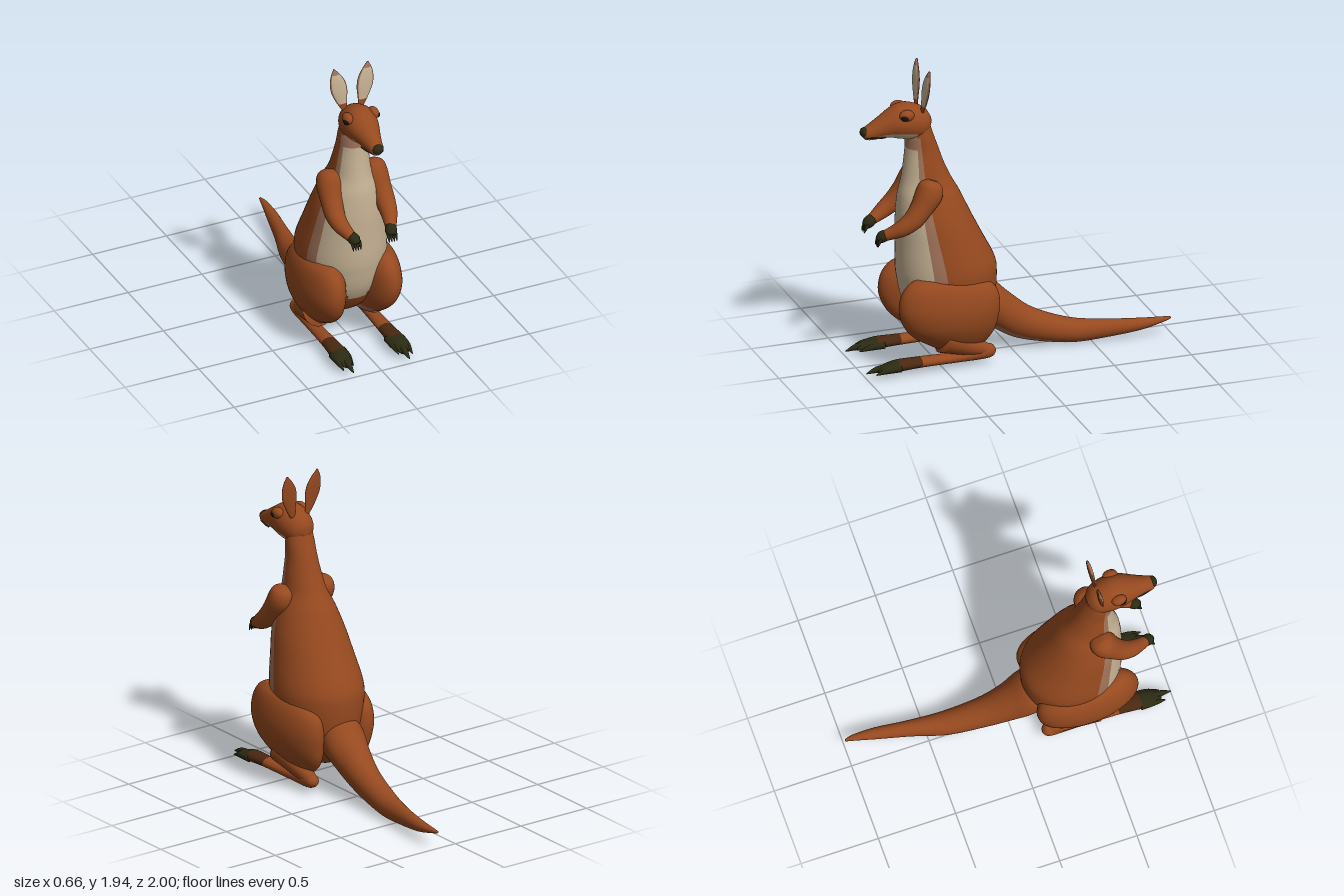
import * as THREE from 'three';

const mat = (name, color) => Object.assign(new THREE.MeshStandardMaterial({ color }), { name });

export function createModel() {
  const fur = mat('russet fur', 0x96491f);
  const cream = mat('cream fur', 0xc6b294);
  const tan = mat('tan fur', 0xa07259);
  const darkFur = mat('dark brown fur', 0x4a2810);
  const claw = mat('dark olive skin', 0x2b2a13);
  const black = mat('black eye', 0x14120e);

  const model = new THREE.Group();
  model.name = 'kangaroo';

  const spline = (a, b, c, d, t) => {
    const p = (c - a) / 2, q = (d - b) / 2;
    return (2 * b - 2 * c + p + q) * t ** 3 + (-3 * b + 3 * c - 2 * p - q) * t * t + p * t + b;
  };

  // Skin over rings [cx,cy,cz, ux,uy,uz, vx,vy,vz]; pick(x,y,z,angle from v) gives the colour
  function loft(name, keys, pick = () => fur, { seg = 48, steps = 5, parent = model } = {}) {
    const rings = [];
    for (let i = 0; i < keys.length - 1; i++) {
      const k = [-1, 0, 1, 2].map(o => keys[Math.min(keys.length - 1, Math.max(0, i + o))]);
      for (let s = 0; s < steps; s++) {
        rings.push(k[0].map((_, n) => spline(k[0][n], k[1][n], k[2][n], k[3][n], s / steps)));
      }
    }
    rings.push(keys[keys.length - 1]);
    // Close both ends
    const closed = r => r.map((n, i) => (i < 3 ? n : n * 0.001));
    rings.unshift(closed(rings[0]));
    rings.push(closed(rings[rings.length - 1]));

    const pos = [];
    for (const r of rings) {
      for (let j = 0; j < seg; j++) {
        const a = (j / seg) * Math.PI * 2, sn = Math.sin(a), cs = Math.cos(a);
        for (let n = 0; n < 3; n++) pos.push(r[n] + r[n + 3] * sn + r[n + 6] * cs);
      }
    }
    // Winding follows the handedness of the rings
    const mid = keys[keys.length >> 1];
    const vec = (r, o) => new THREE.Vector3(r[o], r[o + 1], r[o + 2]);
    const along = vec(keys[keys.length - 1], 0).sub(vec(keys[0], 0));
    const flip = vec(mid, 6).cross(vec(mid, 3)).dot(along) < 0;

    const faces = new Map();
    for (let i = 0; i < rings.length - 1; i++) {
      for (let j = 0; j < seg; j++) {
        const a = i * seg + j, b = i * seg + (j + 1) % seg, c = b + seg, d = a + seg;
        const m = [0, 1, 2].map(n => (pos[a * 3 + n] + pos[c * 3 + n]) / 2);
        const deg = ((j + 0.5) / seg) * 360;
        const material = pick(...m, Math.min(deg, 360 - deg));
        if (!faces.has(material)) faces.set(material, []);
        faces.get(material).push(...(flip ? [a, c, b, a, d, c] : [a, b, c, a, c, d]));
      }
    }
    const geo = new THREE.BufferGeometry();
    geo.setAttribute('position', new THREE.Float32BufferAttribute(pos, 3));
    const index = [];
    [...faces.values()].forEach((f, i) => {
      geo.addGroup(index.length, f.length, i);
      for (const n of f) index.push(n);
    });
    geo.setIndex(index);
    geo.computeVertexNormals();
    const mesh = new THREE.Mesh(geo, [...faces.keys()]);
    mesh.name = name;
    parent.add(mesh);
    return mesh;
  }

  // Upright ring [z, top, bottom, x0, x1] with angle 0 at the underside
  const upright = ([z, t, b, x0, x1]) =>
    [(x0 + x1) / 2, (t + b) / 2, z, (x1 - x0) / 2, 0, 0, 0, (b - t) / 2, 0];
  // Level ring [y, front z, back z, x0, x1] with angle 0 at the front
  const level = ([y, f, b, x0, x1]) =>
    [(x0 + x1) / 2, y, (f + b) / 2, (x1 - x0) / 2, 0, 0, 0, 0, (f - b) / 2];
  const side = (s, r) => [r[0], r[1], r[2], s * r[3], s * r[4]];

  // Round limb through points [x, y, z, radius]
  function limb(name, pts, pick, opts) {
    const X = new THREE.Vector3(1, 0, 0);
    const keys = pts.map((p, i) => {
      const a = pts[Math.max(0, i - 1)], b = pts[Math.min(pts.length - 1, i + 1)];
      const t = new THREE.Vector3(b[0] - a[0], b[1] - a[1], b[2] - a[2]).normalize();
      const v = t.clone().cross(X).normalize(), u = v.clone().cross(t);
      return [p[0], p[1], p[2], ...u.multiplyScalar(p[3]).toArray(), ...v.multiplyScalar(p[3]).toArray()];
    });
    return loft(name, keys, pick, { seg: 16, steps: 4, ...opts });
  }

  function ball(name, material, p, r) {
    const mesh = new THREE.Mesh(new THREE.SphereGeometry(1, 24, 16), material);
    mesh.position.set(...p);
    mesh.scale.set(...r);
    mesh.name = name;
    model.add(mesh);
  }

  // Torso and neck with cream belly
  loft('body', [
    [0.13, 0.42, 0.3, 0.04], [0.17, 0.5, 0.22, 0.12], [0.25, 0.6, 0.15, 0.2], [0.4, 0.69, 0.11, 0.25],
    [0.55, 0.725, 0.1, 0.275], [0.65, 0.735, 0.115, 0.275], [0.8, 0.735, 0.19, 0.25],
    [0.95, 0.735, 0.265, 0.222], [1.1, 0.725, 0.335, 0.175], [1.2, 0.705, 0.39, 0.13],
    [1.3, 0.69, 0.435, 0.112], [1.4, 0.68, 0.47, 0.097], [1.5, 0.675, 0.505, 0.092], [1.58, 0.66, 0.53, 0.08],
  ].map(([y, f, b, w]) => level([y, f, b, -w, w])), (x, y, z, a) => {
    if (y < 0.33) return fur;
    const edge = 60 * Math.min(1, (y - 0.27) / 0.3);
    if (a < edge) return y > 1.43 ? tan : cream;
    return y > 0.6 && y < 1.5 && a < 75 ? tan : fur;
  });

  // Head with pale jaw
  loft('head', [
    [0.52, 1.61, 1.55, 0.03], [0.55, 1.66, 1.5, 0.075], [0.6, 1.692, 1.475, 0.1], [0.67, 1.714, 1.48, 0.11],
    [0.73, 1.708, 1.49, 0.104], [0.78, 1.685, 1.503, 0.09], [0.84, 1.647, 1.505, 0.069],
    [0.9, 1.61, 1.5, 0.052], [0.94, 1.585, 1.507, 0.042], [0.96, 1.57, 1.525, 0.025],
  ].map(([z, t, b, w]) => upright([z, t, b, -w, w])),
  (x, y, z, a) => (z > 0.63 && z < 0.93 && a < 62 ? cream : fur));
  ball('nose', claw, [0, 1.553, 0.945], [0.038, 0.032, 0.028]);

  // Tail sweeping back to one side, pale below
  loft('tail', [
    [0.24, 0.5, 0.2, -0.13, 0.13], [0.12, 0.47, 0.15, -0.14, 0.14], [0, 0.36, 0.08, -0.105, 0.12],
    [-0.15, 0.245, 0.035, -0.07, 0.115], [-0.38, 0.158, 0.002, -0.025, 0.125], [-0.6, 0.135, 0.02, 0.04, 0.14],
    [-0.8, 0.125, 0.05, 0.085, 0.16], [-0.94, 0.12, 0.085, 0.115, 0.155], [-0.995, 0.115, 0.1, 0.126, 0.14],
  ].map(upright), (x, y, z, a) => (a < 48 && z < 0.22 && z > -0.85 ? tan : fur));

  for (const s of [1, -1]) {
    const n = s > 0 ? 'left' : 'right';

    // Face details
    ball(n + 'Brow', fur, [s * 0.085, 1.662, 0.7], [0.034, 0.036, 0.048]);
    ball(n + 'Eye', black, [s * 0.102, 1.655, 0.715], [0.02, 0.021, 0.027]);
    limb(n + 'Mouth', [[s * 0.058, 1.525, 0.83, 0.005], [s * 0.05, 1.525, 0.88, 0.006],
      [s * 0.035, 1.53, 0.94, 0.005]], () => claw, { seg: 8 });

    // Leaf-shaped ear, pale inside
    loft(n + 'Ear', [
      [1.66, 0.055, 0.59, 0.018], [1.72, 0.073, 0.585, 0.036], [1.79, 0.086, 0.58, 0.054],
      [1.85, 0.095, 0.575, 0.052], [1.9, 0.105, 0.57, 0.034], [1.945, 0.114, 0.565, 0.005],
    ].map(([y, x, z, w]) => [s * x, y, z, w, 0, 0, 0, 0, 0.006 + w * 0.16]),
    (x, y, z, a) => (y < 1.7 || a > 90 ? fur : a < 52 && y < 1.91 ? cream : tan), { seg: 32 });

    // Arm, hand and claws
    limb(n + 'Arm', [
      [s * 0.14, 1.235, 0.55, 0.03], [s * 0.145, 1.21, 0.56, 0.07], [s * 0.15, 1.15, 0.58, 0.085],
      [s * 0.165, 1.07, 0.635, 0.07], [s * 0.172, 1.0, 0.695, 0.062], [s * 0.165, 0.955, 0.76, 0.052],
      [s * 0.145, 0.925, 0.82, 0.04], [s * 0.132, 0.91, 0.855, 0.034],
    ], undefined, { seg: 28 });
    limb(n + 'Hand', [[s * 0.134, 0.915, 0.845, 0.034], [s * 0.124, 0.9, 0.875, 0.037],
      [s * 0.12, 0.88, 0.895, 0.026]], () => claw);
    for (let i = 0; i < 4; i++) {
      const x = s * (0.096 + i * 0.017);
      limb(n + 'Finger' + (i + 1), [[x, 0.895, 0.885, 0.011], [x, 0.87, 0.9, 0.009], [x, 0.843, 0.91, 0.002]],
        () => claw, { seg: 8 });
    }

    // Thigh
    loft(n + 'Thigh', [
      [0.1, 0.48, 0.27, 0.13, 0.2], [0.15, 0.57, 0.21, 0.08, 0.24], [0.22, 0.68, 0.165, 0.06, 0.285],
      [0.3, 0.75, 0.145, 0.05, 0.318], [0.4, 0.785, 0.135, 0.05, 0.33], [0.5, 0.775, 0.16, 0.06, 0.315],
      [0.57, 0.73, 0.25, 0.09, 0.285], [0.605, 0.67, 0.38, 0.13, 0.24],
    ].map(r => level([r[0], r[1], r[2], s * r[3], s * r[4]])),
    (x, y, z) => (Math.abs(x) < 0.16 && y > 0.13 && y < 0.21 && z > 0.4 ? tan : fur));

    // Shank down to the heel
    limb(n + 'Shank', [
      [s * 0.19, 0.21, 0.5, 0.1], [s * 0.19, 0.145, 0.36, 0.07], [s * 0.192, 0.105, 0.26, 0.05],
      [s * 0.195, 0.085, 0.2, 0.035],
    ], (x, y, z) => (Math.abs(x) < 0.15 && z > 0.28 ? tan : fur), { seg: 24 });

    // Long foot, darkening towards the toes
    loft(n + 'Foot', [
      [0.165, 0.095, 0.07, 0.18, 0.21], [0.19, 0.125, 0.045, 0.155, 0.235], [0.25, 0.125, 0.035, 0.15, 0.24],
      [0.4, 0.1, 0.035, 0.155, 0.235], [0.65, 0.1, 0.035, 0.145, 0.24], [0.8, 0.1, 0.03, 0.14, 0.25],
      [0.88, 0.082, 0.03, 0.15, 0.245], [0.93, 0.062, 0.035, 0.16, 0.22],
    ].map(r => upright([r[0], r[1], r[2], s * r[3], s * r[4]])),
    (x, y, z) => (z < 0.655 ? fur : z < 0.8 ? darkFur : claw), { seg: 24 });
    for (const [i, x, tip] of [[1, 0.153, 0.92], [2, 0.19, 1], [3, 0.233, 0.95]]) {
      limb(n + 'Toe' + i, [[s * x, 0.06, tip - 0.16, 0.024], [s * x, 0.055, tip - 0.07, 0.02],
        [s * x, 0.036, tip, 0.003]], () => claw, { seg: 12 });
    }
  }
  return model;
}
